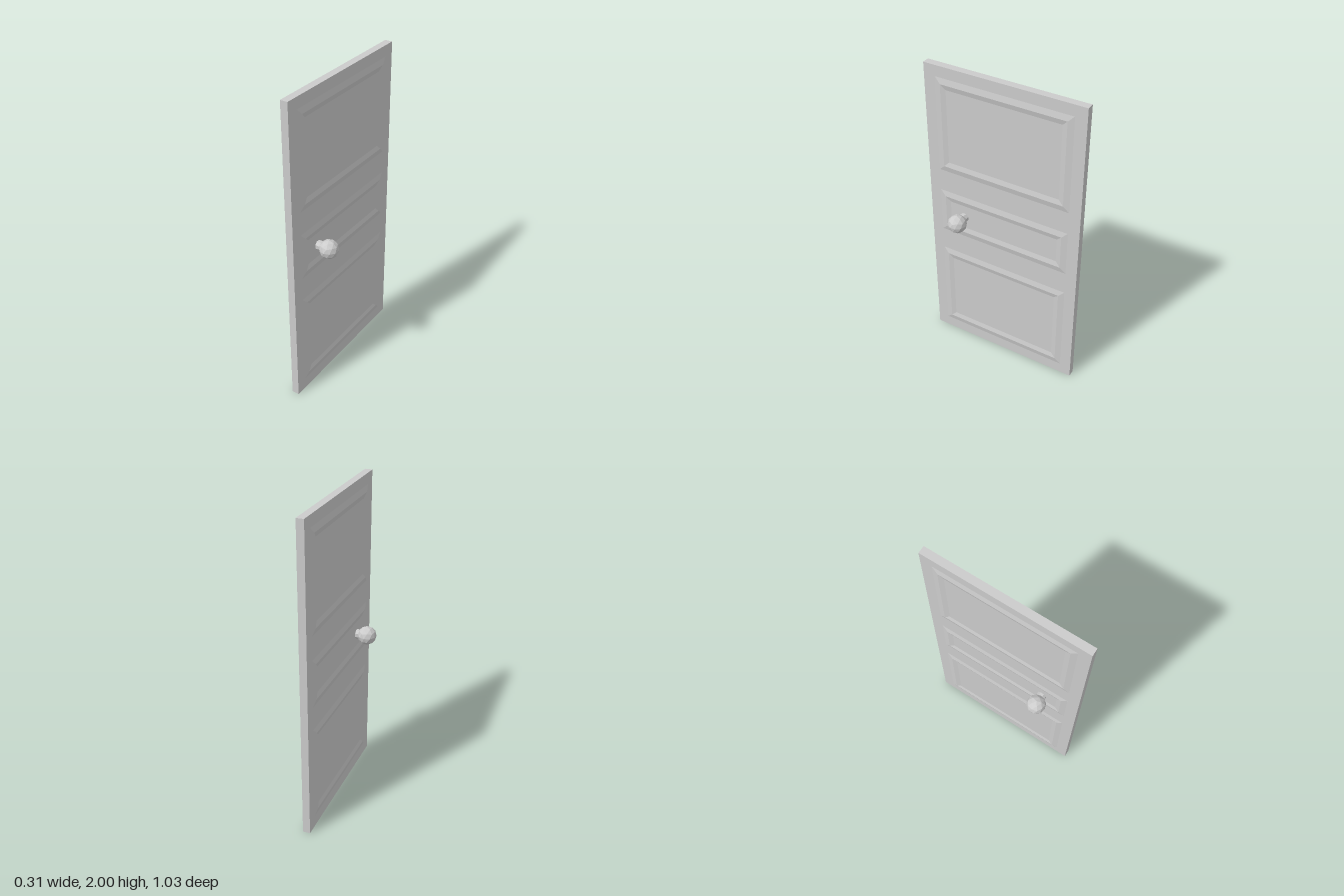
import * as THREE from 'three';

const material = new THREE.MeshStandardMaterial({ color: 0xcccccc, flatShading: true });
const SLAB_X = -0.005, HALF_THICK = 0.0235, APEX = 0.031;
const KNOB_Y = 1.005, KNOB_Z = 0.275;

function addMesh(parent, name, geometry, x = 0, y = 0, z = 0) {
  const mesh = new THREE.Mesh(geometry, material);
  mesh.name = name;
  mesh.position.set(x, y, z);
  parent.add(mesh);
  return mesh;
}

// Mitred ridge moulding: three rectangular loops (outer, apex, inner) on the +x face
function mouldingGeometry(y0, y1, halfZ) {
  const loops = [[0, HALF_THICK], [0.037, APEX], [0.069, HALF_THICK]].map(([inset, x]) => {
    const b = y0 + inset, t = y1 - inset, z = halfZ - inset;
    return [[x, b, z], [x, b, -z], [x, t, -z], [x, t, z]];
  });
  const positions = [];
  for (let k = 0; k < 2; k++) {
    for (let i = 0; i < 4; i++) {
      const j = (i + 1) % 4;
      const a = loops[k][i], b = loops[k][j], c = loops[k + 1][j], d = loops[k + 1][i];
      positions.push(...a, ...b, ...c, ...a, ...c, ...d);
    }
  }
  const geometry = new THREE.BufferGeometry();
  geometry.setAttribute('position', new THREE.Float32BufferAttribute(positions, 3));
  geometry.computeVertexNormals();
  return geometry;
}

export function createModel() {
  const door = new THREE.Group();
  door.name = 'door';

  addMesh(door, 'slab', new THREE.BoxGeometry(HALF_THICK * 2, 2, 1.026), SLAB_X, 1, 0);

  // Faceted ball with a vertex pointing up
  const ball = new THREE.IcosahedronGeometry(0.06, 1);
  ball.rotateX(-Math.atan((1 + Math.sqrt(5)) / 2)).rotateY(Math.PI / 2);

  // Eight-sided stem lying along x
  const stem = new THREE.CylinderGeometry(0.03, 0.03, 0.06, 8);
  stem.rotateY(Math.PI / 8).rotateZ(Math.PI / 2);

  const panels = [
    ['lowerMoulding', 0.075, 0.702],
    ['middleMoulding', 0.855, 1.158],
    ['upperMoulding', 1.307, 1.93],
  ];

  for (const side of [1, -1]) {
    const label = side > 0 ? 'left' : 'right';

    // Mouldings, turned half round for the far face
    const face = new THREE.Group();
    face.name = label + 'Face';
    face.position.x = SLAB_X;
    face.rotation.y = side > 0 ? 0 : Math.PI;
    for (const [name, y0, y1] of panels) addMesh(face, name, mouldingGeometry(y0, y1, 0.439));
    door.add(face);

    // Knob and its stem
    const knob = new THREE.Group();
    knob.name = label + 'Knob';
    knob.position.set(0, KNOB_Y, KNOB_Z);
    addMesh(knob, 'ball', ball, side * 0.098);
    addMesh(knob, 'stem', stem, side * 0.04, 0, -0.002);
    door.add(knob);
  }
  return door;
}
